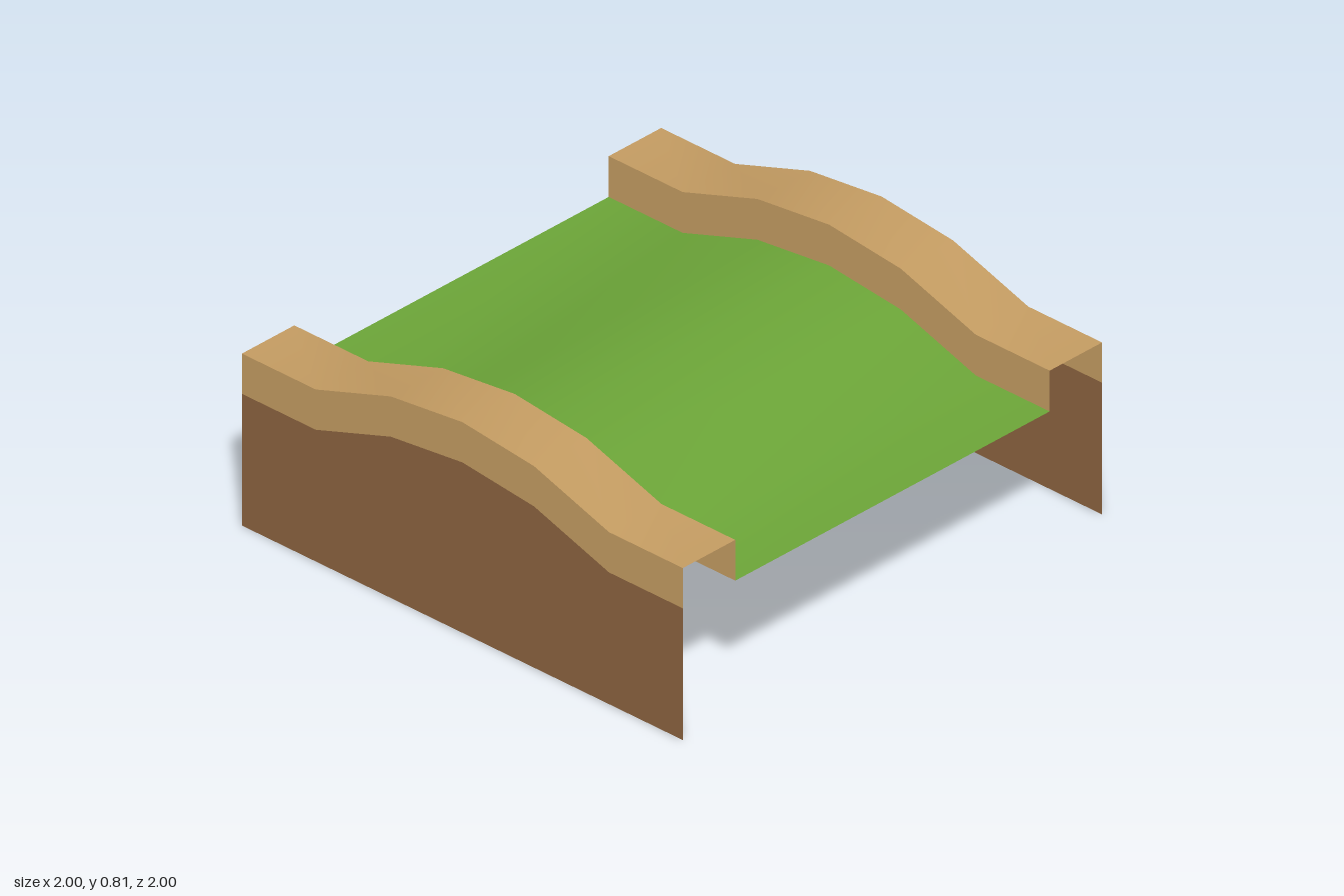
import * as THREE from 'three';

const material = (name, color) => {
  const m = new THREE.MeshStandardMaterial({ color, side: THREE.DoubleSide });
  m.name = name;
  return m;
};

// Half of the hump's lengthwise profile: [z, height of the lawn]
const HALF = [[0, 0.65], [0.325, 0.615], [0.665, 0.502], [1, 0.502]];
const PROFILE = [...HALF.slice(1).reverse().map(([z, y]) => [-z, y]), ...HALF];
const CURB = 0.156; // curb height above the lawn

// Sheet running along z between two edges; each edge is [x, height rule]
function strip(name, mat, [xa, ya], [xb, yb]) {
  const positions = [], index = [];
  PROFILE.forEach(([z, y], i) => {
    positions.push(xa, ya(y), z, xb, yb(y), z);
    if (i < PROFILE.length - 1) {
      const k = i * 2;
      index.push(k, k + 2, k + 1, k + 1, k + 2, k + 3);
    }
  });
  const g = new THREE.BufferGeometry();
  g.setAttribute('position', new THREE.Float32BufferAttribute(positions, 3));
  g.setIndex(index);
  g.computeVertexNormals();
  const mesh = new THREE.Mesh(g, mat);
  mesh.name = name;
  return mesh;
}

export function createModel() {
  const grass = material('grass green', 0x6ca538);
  const sand = material('sandy tan', 0xc49c62);
  const earth = material('earth brown', 0x8b633f);

  const ground = () => 0;
  const lawn = (y) => y;
  const seam = (y) => y + 0.002;
  const top = (y) => y + CURB;

  const model = new THREE.Group();
  model.name = 'humpedTrack';
  model.add(strip('lawn', grass, [-0.75, lawn], [0.75, lawn]));

  // Curb and earth wall on each side
  for (const s of [1, -1]) {
    const side = new THREE.Group();
    side.name = s > 0 ? 'leftBank' : 'rightBank';
    // Swap the edges on the mirrored side so faces stay outward
    const add = (name, mat, a, b) =>
      side.add(s > 0 ? strip(name, mat, a, b) : strip(name, mat, b, a));
    const outer = s, inner = s * 0.75;
    add('curbInnerFace', sand, [inner, lawn], [inner, top]);
    add('curbTop', sand, [inner, top], [outer, top]);
    add('curbOuterFace', sand, [outer, top], [outer, seam]);
    add('earthWall', earth, [outer, seam], [outer, ground]);
    model.add(side);
  }
  return model;
}
